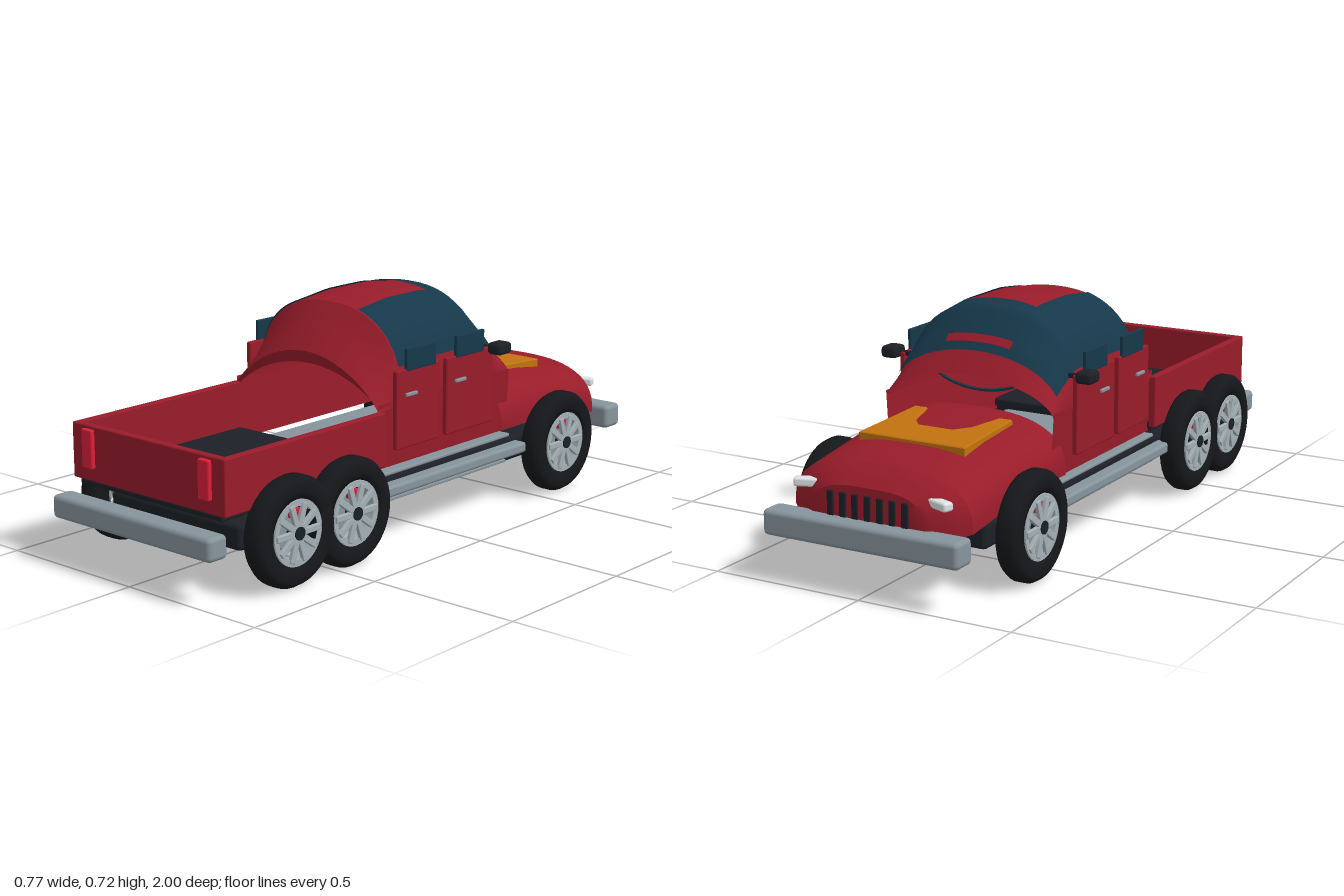
import * as THREE from 'three';
import { toCreasedNormals } from 'three/addons/utils/BufferGeometryUtils.js';
import { RoundedBoxGeometry } from 'three/addons/geometries/RoundedBoxGeometry.js';
import { ParametricGeometry } from 'three/addons/geometries/ParametricGeometry.js';

const paint = (color, side = THREE.FrontSide) => new THREE.MeshStandardMaterial({ color, side });
const RED = paint(0x981c2a), DARK = paint(0x1c2026), SILVER = paint(0x87949c);
const ORANGE = paint(0xc2730f), CYAN = paint(0x10b5c9), LAMP = paint(0xdd1f3a), WHITE = paint(0xdde3e6);
const SKIN = paint(0x981c2a, THREE.DoubleSide), BLUE = paint(0x16384a, THREE.DoubleSide);
const RUBBER = paint(0x15171a, THREE.DoubleSide), RIM = paint(0xa3afb5, THREE.DoubleSide);

function add(parent, name, geometry, material) {
  const mesh = new THREE.Mesh(geometry, material);
  mesh.name = name;
  parent.add(mesh);
  return mesh;
}

// Rounded box given by its min and max on each axis
function box(parent, name, mat, [x0, x1], [y0, y1], [z0, z1], r = 0.005) {
  const mesh = add(parent, name, new RoundedBoxGeometry(x1 - x0, y1 - y0, z1 - z0, 2, r), mat);
  mesh.position.set((x0 + x1) / 2, (y0 + y1) / 2, (z0 + z1) / 2);
  return mesh;
}

// Arched skin through stations [z, top, base, halfWidth, roundness]; ranges pick a panel of it
function arch(stations, [t0, t1], [s0, s1], slices, stacks, lift = 0) {
  const surface = (u, v, target) => {
    const s = s0 + (s1 - s0) * v;
    const i = Math.min(Math.floor(s), stations.length - 2);
    const [z, top, base, w, power] = stations[i].map((n, k) => n + (stations[i + 1][k] - n) * (s - i));
    const a = Math.PI * (1 - t0 - (t1 - t0) * u);
    const c = Math.cos(a), h = Math.max(0, Math.sin(a));
    target.set(Math.sign(c) * Math.abs(c) ** Math.min(power, 1) * (w + lift),
      base + (top - base + lift) * h ** power, z - (s > 5 ? lift : 0));
  };
  return toCreasedNormals(new ParametricGeometry(surface, slices, stacks), 0.6);
}

// Wheel whose outer face looks along local +y
function makeWheel() {
  const wheel = new THREE.Group();
  wheel.name = 'wheel';
  const profile = [[0.1, -0.03], [0.12, -0.036], [0.145, -0.037], [0.158, -0.03], [0.167, -0.015],
    [0.167, 0.015], [0.158, 0.03], [0.145, 0.037], [0.12, 0.036], [0.1, 0.03], [0.1, -0.03]]
    .map(([r, y]) => new THREE.Vector2(r, y));
  add(wheel, 'tyre', new THREE.LatheGeometry(profile, 40), RUBBER);
  add(wheel, 'rimBarrel', new THREE.CylinderGeometry(0.099, 0.099, 0.07, 36, 1, true), RIM);
  const face = add(wheel, 'rimFace', new THREE.RingGeometry(0.08, 0.1, 36), RIM);
  face.rotation.x = -Math.PI / 2;
  face.position.y = 0.033;
  for (let i = 0; i < 10; i++) {
    const arm = new THREE.Group();
    arm.rotation.y = ((i + 0.5) * Math.PI) / 5;
    box(arm, 'spoke', RIM, [0.015, 0.09], [0.026, 0.039], [-0.01, 0.01], 0.003);
    wheel.add(arm);
  }
  add(wheel, 'hub', new THREE.CylinderGeometry(0.02, 0.02, 0.05, 16), DARK).position.y = 0.018;
  add(wheel, 'brakeDisc', new THREE.CylinderGeometry(0.06, 0.06, 0.012, 24), SILVER);
  box(wheel, 'brakeCaliper', LAMP, [-0.072, -0.045], [0.008, 0.024], [-0.018, 0.018], 0.003);
  return wheel;
}

export function createModel() {
  const truck = new THREE.Group();
  truck.name = 'sixWheelTruck';

  // Chassis and drive line
  box(truck, 'chassisSlab', DARK, [-0.27, 0.27], [0.12, 0.2], [-0.75, 0.82], 0.015);
  box(truck, 'frameCrossPlate', SILVER, [-0.29, 0.29], [0.13, 0.14], [-0.4, 0.28], 0.003);
  box(truck, 'cabFloor', SILVER, [-0.245, 0.245], [0.222, 0.242], [-0.43, 0.28], 0.005);
  box(truck, 'floorRail', SILVER, [-0.29, 0.29], [0.212, 0.224], [-0.42, 0.28], 0.005);
  box(truck, 'driveShaft', CYAN, [-0.04, 0.04], [0.2, 0.235], [-0.35, 0.62], 0.01);
  box(truck, 'engineBlock', ORANGE, [-0.18, 0.18], [0.2, 0.25], [-0.62, -0.42], 0.005);

  // Bumpers
  box(truck, 'rearBumper', SILVER, [-0.33, 0.33], [0.143, 0.215], [0.925, 1], 0.015);
  box(truck, 'frontBumper', SILVER, [-0.33, 0.33], [0.143, 0.222], [-1, -0.917], 0.015);

  // Cargo bed, open towards the cab
  box(truck, 'bedUnderside', DARK, [-0.295, 0.295], [0.238, 0.255], [0.25, 0.915]);
  box(truck, 'bedFloor', DARK, [-0.3, 0.3], [0.25, 0.275], [0.24, 0.9]);
  box(truck, 'tailgate', RED, [-0.317, 0.317], [0.255, 0.425], [0.895, 0.922]);

  // Cab shell with open rear and front arches, windscreen and its trim
  const cab = [[0.235, 0.53, 0.42, 0.295, 1.7], [0.25, 0.57, 0.42, 0.3, 1.7], [0.14, 0.71, 0.43, 0.295, 0.85],
    [0, 0.728, 0.43, 0.295, 0.85], [-0.15, 0.728, 0.43, 0.295, 0.85], [-0.25, 0.715, 0.43, 0.295, 0.85],
    [-0.33, 0.62, 0.43, 0.295, 0.9], [-0.385, 0.55, 0.43, 0.295, 1.1], [-0.4, 0.53, 0.43, 0.295, 1.2]];
  add(truck, 'cabShell', arch(cab, [0, 1], [0, 8], 32, 32), SKIN);
  add(truck, 'windscreen', arch(cab, [0.11, 0.89], [4.4, 6.4], 24, 20, 0.004), BLUE);
  add(truck, 'windscreenTrim', arch(cab, [0.39, 0.61], [5.85, 6.1], 12, 4, 0.007), SKIN);
  const rim = new THREE.CatmullRomCurve3([[-0.2, 0.55], [-0.12, 0.492], [0, 0.47], [0.12, 0.492], [0.2, 0.55]]
    .map(([x, y]) => new THREE.Vector3(x, y, -0.33)));
  add(truck, 'windscreenLowerRim', new THREE.TubeGeometry(rim, 24, 0.005, 6), BLUE);

  // Bonnet with closed nose
  const hood = [[-0.35, 0.422, 0.25, 0.31, 0.75], [-0.6, 0.408, 0.25, 0.31, 0.75], [-0.87, 0.375, 0.21, 0.303, 0.75],
    [-0.905, 0.352, 0.2, 0.265, 0.7], [-0.943, 0.318, 0.2, 0.19, 0.6], [-0.947, 0.215, 0.21, 0.01, 0.6]];
  add(truck, 'bonnet', arch(hood, [0, 1], [0, 5], 32, 20), SKIN);

  // Notched plate on the bonnet
  const plate = new THREE.Shape([[-0.168, 0.43], [-0.178, 0.712], [0.178, 0.712], [0.168, 0.43], [0.13, 0.43],
    [0.1, 0.54], [0.06, 0.585], [-0.06, 0.585], [-0.1, 0.54], [-0.13, 0.43]]
    .map(([x, y]) => new THREE.Vector2(x, y)));
  const plateMesh = add(truck, 'bonnetPlate', new THREE.ExtrudeGeometry(plate, {
    depth: 0.03, bevelEnabled: true, bevelSize: 0.003, bevelThickness: 0.003, bevelSegments: 1 }), ORANGE);
  plateMesh.rotation.x = -Math.PI / 2 - 0.05;
  plateMesh.position.y = 0.408;

  // Grille slots
  for (let i = -3; i <= 3; i++) {
    box(truck, 'grilleSlot', DARK, [i * 0.042 - 0.011, i * 0.042 + 0.011], [0.22, 0.295], [-0.95, -0.93], 0.004);
  }

  // Parts repeated on both sides
  for (const s of [1, -1]) {
    const span = (a, b) => (s > 0 ? [a, b] : [-b, -a]);
    box(truck, 'bedWall', RED, span(0.291, 0.317), [0.255, 0.425], [0.235, 0.915]);
    box(truck, 'tailLight', LAMP, span(0.22, 0.265), [0.296, 0.415], [0.915, 0.935]);
    box(truck, 'sideStep', SILVER, span(0.295, 0.345), [0.165, 0.2], [-0.44, 0.3], 0.01);

    // Lower cab side
    const side = (u, v, target) => target.set(s * (0.285 + 0.011 * u), 0.24 + 0.205 * u, s * (0.65 * v - 0.325) - 0.075);
    add(truck, 'cabSide', new ParametricGeometry(side, 2, 4), SKIN);
    const range = s > 0 ? [0.61, 0.89] : [0.11, 0.39];
    add(truck, 'roofWindow', arch(cab, range, [2, 4.4], 10, 12, 0.004), BLUE);

    // Doors with panes and handles
    for (const [z0, z1, p0, p1, h] of [[-0.02, 0.185, 0, 0.14, 0.12], [-0.29, -0.055, -0.24, -0.1, -0.12]]) {
      box(truck, 'door', RED, span(0.298, 0.316), [0.295, 0.542], [z0, z1]);
      box(truck, 'doorWindow', BLUE, span(0.306, 0.318), [0.535, 0.605], [p0, p1], 0.003);
      box(truck, 'doorHandle', SILVER, span(0.31, 0.324), [0.457, 0.468], [h - 0.026, h + 0.026], 0.003);
    }
    box(truck, 'mirrorArm', DARK, span(0.28, 0.33), [0.53, 0.545], [-0.285, -0.27], 0.003);
    box(truck, 'mirror', DARK, span(0.318, 0.373), [0.522, 0.56], [-0.315, -0.25], 0.012);

    // Headlights wrap round the nose corner
    box(truck, 'headlight', WHITE, span(0.165, 0.265), [0.285, 0.312], [-0.93, -0.895], 0.008).rotation.y = s * 0.35;

    // Wheels, turned so the outer face looks away from the body
    for (const z of [0.69, 0.44, -0.61]) {
      const wheel = makeWheel();
      wheel.rotation.set(0, s > 0 ? 0 : Math.PI, -Math.PI / 2);
      wheel.position.set(s * 0.343, 0.17, z);
      truck.add(wheel);
    }
  }
  return truck;
}
